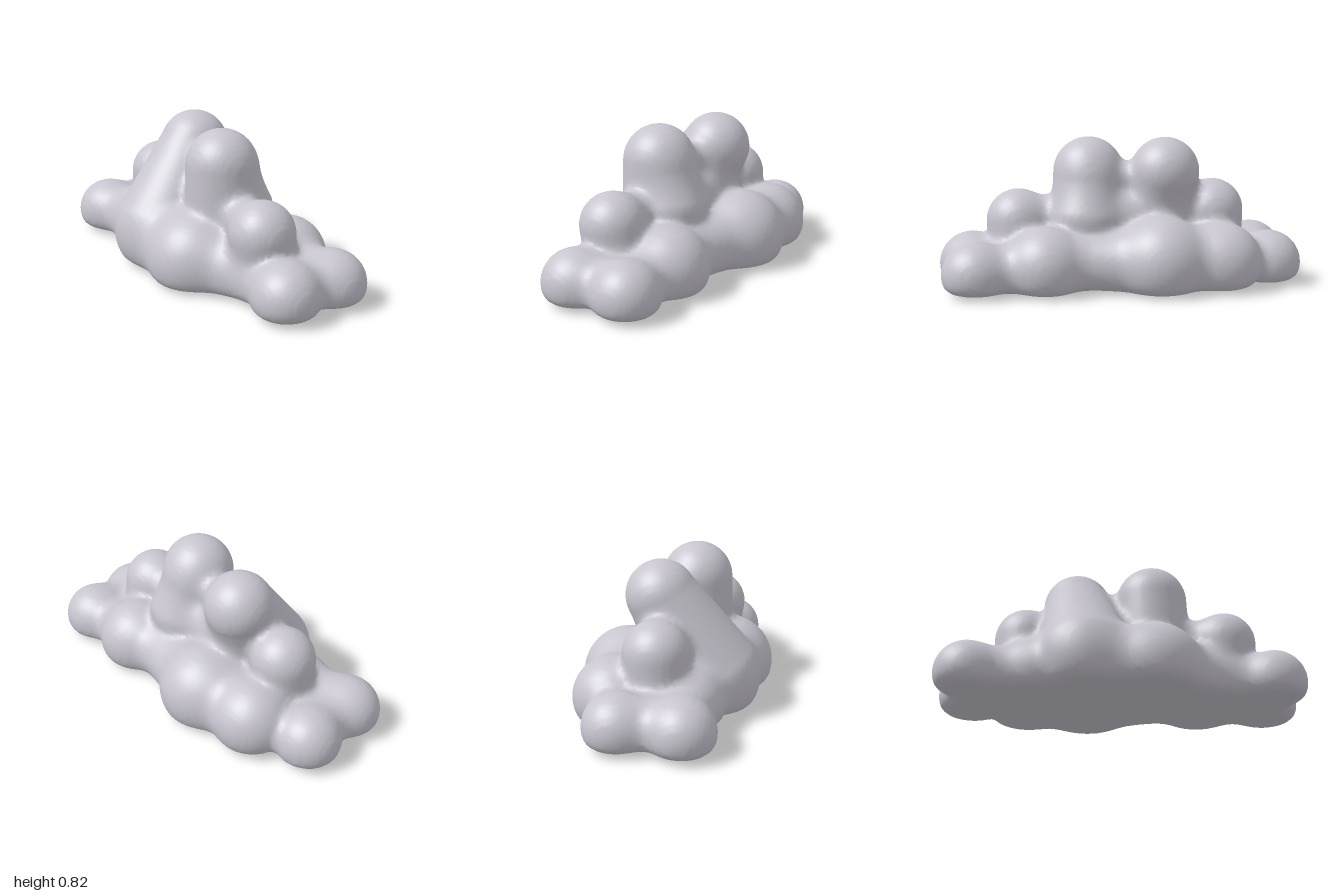
import * as THREE from 'three';

// Puffs of the cloud: [start xyz, start radius, end xyz, end radius]; a lone sphere has no end.
const towers = [
  [-0.24, 0.63, -0.05, 0.19, -0.19, 0.2, 0.2, 0.275],
  [0.17, 0.625, 0.06, 0.195, 0.18, 0.25, 0.06, 0.2],
  [0.17, 0.56, 0.02, 0.165, 0.19, 0.38, -0.01, 0.21],
  // webs between the towers
  [-0.22, 0.59, -0.04, 0.09, 0.15, 0.59, 0.04, 0.09],
  [-0.2, 0.38, 0, 0.18, 0.17, 0.38, 0.02, 0.17],
];
const shoulders = [
  [-0.52, 0.405, -0.01, 0.175, -0.52, 0.18, 0, 0.17],
  [0.56, 0.36, 0.09, 0.175, 0.55, 0.15, 0.06, 0.17],
  [0.2, 0.41, 0.06, 0.1, 0.56, 0.36, 0.09, 0.12],
];
const ends = [
  [0.82, 0.12, 0.14, 0.175],
  [0.82, 0.115, -0.17, 0.175],
  [0.79, 0.12, 0.14, 0.145, 0.79, 0.115, -0.17, 0.145],
  [-0.82, 0.12, 0.19, 0.175],
  [-0.82, 0.12, -0.14, 0.175],
  [-0.79, 0.12, 0.19, 0.145, -0.79, 0.12, -0.14, 0.145],
];
const back = [
  [-0.52, 0.15, -0.24, 0.215],
  [-0.18, 0.16, -0.245, 0.25],
  [0.44, 0.14, -0.17, 0.22],
  [-0.5, 0.15, -0.23, 0.18, -0.2, 0.15, -0.23, 0.215],
  [-0.16, 0.15, -0.22, 0.21, 0.2, 0.15, -0.17, 0.155],
  [0.2, 0.15, -0.16, 0.15, 0.44, 0.14, -0.16, 0.18],
  [0.44, 0.13, -0.15, 0.16, 0.82, 0.11, -0.16, 0.13],
];
const front = [
  [-0.45, 0.13, 0.13, 0.21],
  [0.17, 0.14, 0.24, 0.25],
  [-0.8, 0.12, 0.18, 0.14, -0.46, 0.13, 0.13, 0.18],
  [-0.18, 0.15, 0.22, 0.235, 0.17, 0.14, 0.22, 0.23],
  [0.17, 0.13, 0.21, 0.22, 0.53, 0.12, 0.08, 0.18],
  [0.53, 0.12, 0.08, 0.17, 0.81, 0.11, 0.13, 0.14],
];
const core = [
  [-0.6, 0.12, 0, 0.17, 0.6, 0.12, 0.03, 0.17],
  [-0.3, 0.16, 0, 0.22, 0.25, 0.16, 0, 0.22],
];
const puffs = [...towers, ...shoulders, ...ends, ...back, ...front, ...core];

// Smooth minimum blends neighbouring puffs
function blend(a, b, k) {
  const h = Math.max(k - Math.abs(a - b), 0);
  return Math.min(a, b) - (h * h) / (4 * k);
}

// Signed distance to the cloud, with a nearly flat underside
function distance(x, y, z) {
  let d = 10;
  for (const [ax, ay, az, ar, bx = ax, by = ay, bz = az, br = ar] of puffs) {
    const ux = bx - ax, uy = by - ay, uz = bz - az;
    const len = ux * ux + uy * uy + uz * uz;
    const dot = (x - ax) * ux + (y - ay) * uy + (z - az) * uz;
    const t = len > 0 ? Math.min(1, Math.max(0, dot / len)) : 0;
    const r = ar + (br - ar) * t;
    d = blend(d, Math.hypot(x - ax - ux * t, y - ay - uy * t, z - az - uz * t) - r, 0.05);
  }
  const floor = 0.003 + 0.015 * (x * x + z * z) - y;
  return -blend(-d, -floor, 0.06);
}

// Skins the distance field with one vertex per crossed grid cell
function skin(min, size, step) {
  const [nx, ny, nz] = size.map((s) => Math.ceil(s / step) + 1);
  const strides = [1, nx, nx * ny];
  const field = new Float32Array(nx * ny * nz);
  const at = (i, j, k) => i + j * nx + k * nx * ny;
  for (let k = 0; k < nz; k++)
    for (let j = 0; j < ny; j++)
      for (let i = 0; i < nx; i++)
        field[at(i, j, k)] = distance(min[0] + i * step, min[1] + j * step, min[2] + k * step);

  // Cell vertices: average of the edge crossings
  const vertexOf = new Int32Array(field.length).fill(-1);
  const positions = [];
  for (let k = 0; k < nz - 1; k++)
    for (let j = 0; j < ny - 1; j++)
      for (let i = 0; i < nx - 1; i++) {
        const base = at(i, j, k);
        const sum = [0, 0, 0];
        let count = 0;
        for (let corner = 0; corner < 8; corner++) {
          const bits = [corner & 1, (corner >> 1) & 1, corner >> 2];
          const from = base + bits[0] * strides[0] + bits[1] * strides[1] + bits[2] * strides[2];
          for (let a = 0; a < 3; a++) {
            if (bits[a]) continue;
            const d0 = field[from], d1 = field[from + strides[a]];
            if (d0 < 0 === d1 < 0) continue;
            for (let c = 0; c < 3; c++) sum[c] += bits[c] + (c === a ? d0 / (d0 - d1) : 0);
            count++;
          }
        }
        if (!count) continue;
        vertexOf[base] = positions.length / 3;
        [i, j, k].forEach((n, c) => positions.push(min[c] + (n + sum[c] / count) * step));
      }

  // One quad around every crossed grid edge, facing outwards
  const index = [];
  for (let k = 1; k < nz - 1; k++)
    for (let j = 1; j < ny - 1; j++)
      for (let i = 1; i < nx - 1; i++)
        for (let a = 0; a < 3; a++) {
          const n = at(i, j, k);
          const inside = field[n] < 0;
          if (inside === field[n + strides[a]] < 0) continue;
          const b = strides[(a + 1) % 3], c = strides[(a + 2) % 3];
          const [p, q, r, s] = [n - b - c, n - c, n, n - b].map((m) => vertexOf[m]);
          if (inside) index.push(p, q, r, p, r, s);
          else index.push(p, r, q, p, s, r);
        }

  const geometry = new THREE.BufferGeometry();
  geometry.setAttribute('position', new THREE.Float32BufferAttribute(positions, 3));
  geometry.setIndex(index);
  geometry.computeVertexNormals();
  return geometry;
}

export function createModel() {
  const group = new THREE.Group();
  group.name = 'cloud';

  const cloudGrey = new THREE.MeshStandardMaterial({ color: 0xc8c5cf });
  cloudGrey.name = 'cloud grey';

  const body = new THREE.Mesh(skin([-1.1, -0.09, -0.6], [2.2, 1.0, 1.2], 0.02), cloudGrey);
  body.name = 'cloudBody';
  group.add(body);
  return group;
}
